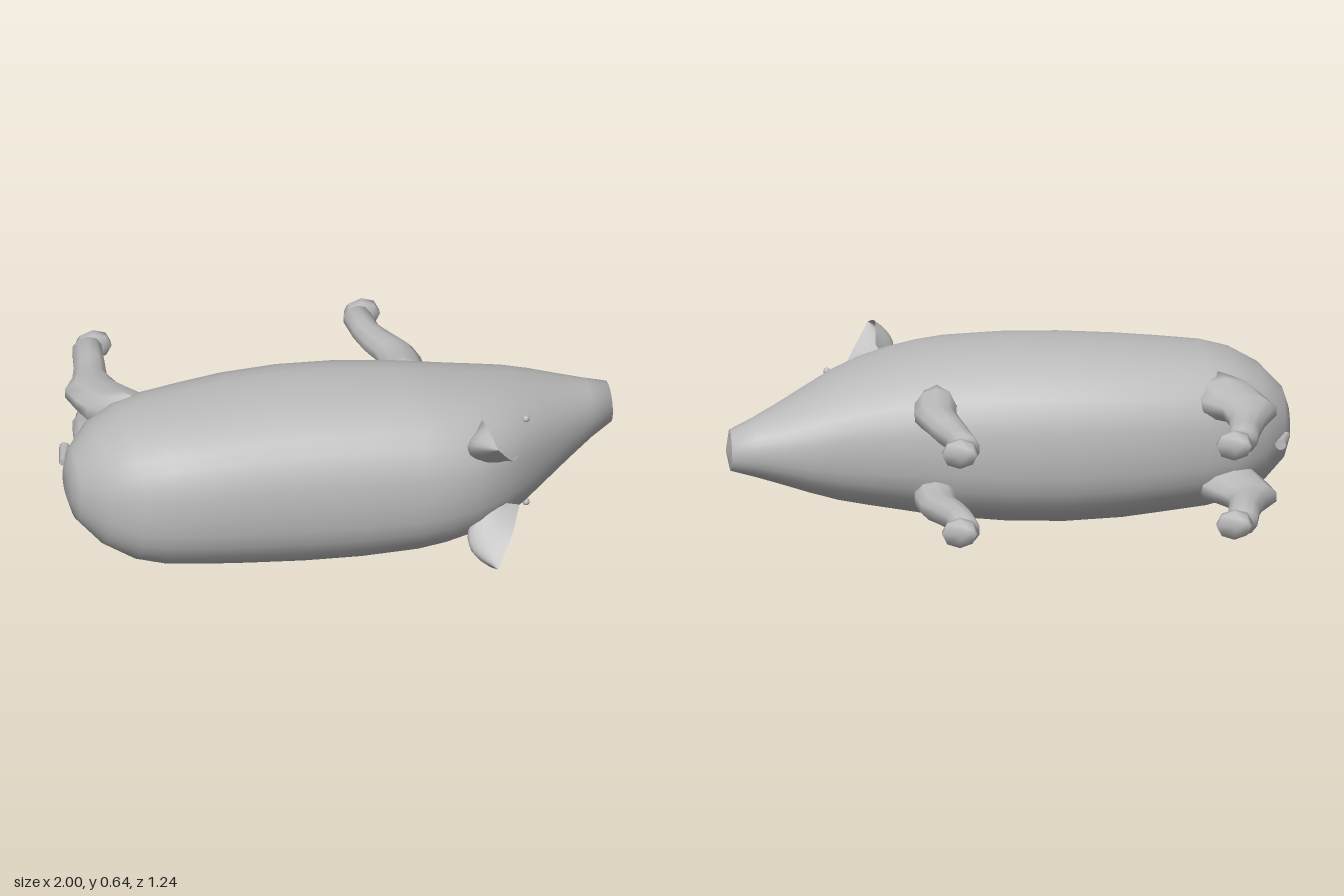
import * as THREE from 'three';

const MID = 0.325; // height of the animal's plane of symmetry (it lies on its side)
const grey = new THREE.MeshStandardMaterial({ color: 0xbbbbbb, side: THREE.DoubleSide });
grey.name = 'grey';

// Skin a list of closed rings, with both ends capped by a centre point.
function loft(rings) {
  const n = rings[0].length, pos = [], idx = [];
  rings.forEach(r => r.forEach(p => pos.push(p.x, p.y, p.z)));
  for (let i = 0; i < rings.length - 1; i++) for (let j = 0; j < n; j++) {
    const k = (j + 1) % n, a = i * n + j, b = i * n + k;
    idx.push(a, b, a + n, b, b + n, a + n);
  }
  [0, rings.length - 1].forEach((i, end) => {
    const c = new THREE.Vector3();
    rings[i].forEach(p => c.addScaledVector(p, 1 / n));
    const ci = pos.length / 3;
    pos.push(c.x, c.y, c.z);
    for (let j = 0; j < n; j++) {
      const a = i * n + j, b = i * n + (j + 1) % n;
      end ? idx.push(ci, a, b) : idx.push(ci, b, a);
    }
  });
  const g = new THREE.BufferGeometry();
  g.setAttribute('position', new THREE.Float32BufferAttribute(pos, 3));
  g.setIndex(idx);
  g.computeVertexNormals();
  return g;
}

// Rounded-square power curve used for the body's cross-section.
const power = (v, n) => Math.sign(v) * Math.abs(v) ** (2 / n);

function bodyGeometry() {
  // x, belly z, back z, half width, squareness
  const sections = [
    [-1.0, 0.02, 0.16, 0.06, 2], [-0.98, -0.03, 0.22, 0.125, 2.1], [-0.9, -0.12, 0.33, 0.205, 2.3],
    [-0.8, -0.17, 0.4, 0.255, 2.4], [-0.7, -0.195, 0.43, 0.28, 2.4], [-0.55, -0.22, 0.455, 0.295, 2.4],
    [-0.4, -0.235, 0.465, 0.31, 2.4], [-0.2, -0.237, 0.485, 0.32, 2.4], [0, -0.222, 0.505, 0.318, 2.4],
    [0.2, -0.195, 0.52, 0.303, 2.4], [0.3, -0.183, 0.515, 0.288, 2.4], [0.4, -0.175, 0.495, 0.268, 2.4],
    [0.5, -0.17, 0.45, 0.245, 2.4], [0.6, -0.165, 0.375, 0.217, 2.4], [0.7, -0.16, 0.285, 0.18, 2.3],
    [0.8, -0.145, 0.195, 0.14, 2.2], [0.9, -0.125, 0.105, 0.102, 2.1], [0.985, -0.11, 0.04, 0.073, 2],
  ];
  return loft(sections.map(([x, z0, z1, hw, n]) => Array.from({ length: 32 }, (_, j) => {
    const a = j / 32 * Math.PI * 2;
    return new THREE.Vector3(x, MID + hw * power(Math.cos(a), n),
      (z0 + z1) / 2 + (z1 - z0) / 2 * power(Math.sin(a), n));
  })));
}

// Leg or hoof from sections running towards -z: z, min x, max x, side offset, half width
function limbGeometry(sections, side, sides = 10) {
  return loft(sections.map(([z, x0, x1, off, hw]) => Array.from({ length: sides }, (_, j) => {
    const a = j / sides * Math.PI * 2;
    return new THREE.Vector3((x0 + x1) / 2 + (x1 - x0) / 2 * Math.sin(a),
      MID + side * off + hw * Math.cos(a), z);
  })));
}

const FRONT_LEG = [
  [-0.06, 0.18, 0.33, 0.15, 0.085], [-0.12, 0.185, 0.345, 0.157, 0.075], [-0.2, 0.2, 0.35, 0.155, 0.055],
  [-0.27, 0.195, 0.335, 0.16, 0.052], [-0.36, 0.175, 0.3, 0.15, 0.051], [-0.45, 0.16, 0.262, 0.146, 0.047],
  [-0.555, 0.15, 0.25, 0.151, 0.048],
];
const BACK_LEG = [
  [-0.05, -0.82, -0.66, 0.15, 0.092], [-0.11, -0.885, -0.645, 0.155, 0.08], [-0.18, -0.91, -0.67, 0.155, 0.06],
  [-0.26, -0.93, -0.73, 0.16, 0.052], [-0.35, -0.88, -0.75, 0.15, 0.051], [-0.45, -0.85, -0.735, 0.146, 0.047],
  [-0.56, -0.83, -0.72, 0.151, 0.048],
];
const HOOF = [
  [-0.555, 0.18, 0.25, 0.147, 0.035], [-0.57, 0.158, 0.287, 0.147, 0.05],
  [-0.6, 0.163, 0.29, 0.147, 0.053], [-0.62, 0.17, 0.235, 0.147, 0.028],
];

// Cupped leaf, open towards the snout
function earGeometry(side) {
  const tip = [0.435, 0.568, 0.618];
  const curve = (...p) => new THREE.CatmullRomCurve3(p.map(([x, y, z]) => new THREE.Vector3(x, MID + side * (y - MID), z)));
  const outer = curve([0.43, 0.56, 0.385], [0.42, 0.603, 0.51], tip);
  const spine = curve([0.39, 0.415, 0.425], [0.362, 0.51, 0.5], tip);
  const inner = curve([0.555, 0.425, 0.43], [0.505, 0.47, 0.54], tip);
  const g = new THREE.PlaneGeometry(1, 1, 8, 8), p = g.attributes.position, v = new THREE.Vector3();
  for (let i = 0; i < p.count; i++) {
    const u = p.getX(i) + 0.5, t = p.getY(i) + 0.5;
    v.set(0, 0, 0)
      .addScaledVector(outer.getPoint(t), (1 - u) * (1 - 2 * u))
      .addScaledVector(spine.getPoint(t), 4 * u * (1 - u))
      .addScaledVector(inner.getPoint(t), u * (2 * u - 1));
    p.setXYZ(i, v.x, v.y, v.z);
  }
  g.computeVertexNormals();
  return g;
}

export function createModel() {
  const model = new THREE.Group();
  model.name = 'pig';
  const add = (name, geometry) => {
    const mesh = new THREE.Mesh(geometry, grey);
    mesh.name = name;
    model.add(mesh);
    return mesh;
  };

  add('body', bodyGeometry());

  // Shallow snout disc
  const snout = add('snout', new THREE.ConeGeometry(0.073, 0.015, 32));
  snout.rotation.z = -Math.PI / 2;
  snout.position.set(0.9925, MID, -0.035);

  // Short tail on the rump
  const tail = add('tail', new THREE.CylinderGeometry(0.013, 0.02, 0.11, 8));
  tail.position.set(-0.965, MID, -0.11);
  tail.quaternion.setFromUnitVectors(new THREE.Vector3(0, 1, 0), new THREE.Vector3(-0.3, 0, 1).normalize());

  for (const side of [1, -1]) {
    const label = side > 0 ? 'Upper' : 'Lower';
    add('frontLeg' + label, limbGeometry(FRONT_LEG, side));
    add('backLeg' + label, limbGeometry(BACK_LEG, side));
    add('frontHoof' + label, limbGeometry(HOOF, side, 8));
    add('backHoof' + label, limbGeometry(HOOF, side, 8)).position.x = -0.97;
    add('ear' + label, earGeometry(side));
    add('eye' + label, new THREE.SphereGeometry(0.013, 12, 8)).position.set(0.61, MID + side * 0.169, 0.3);
  }
  return model;
}
